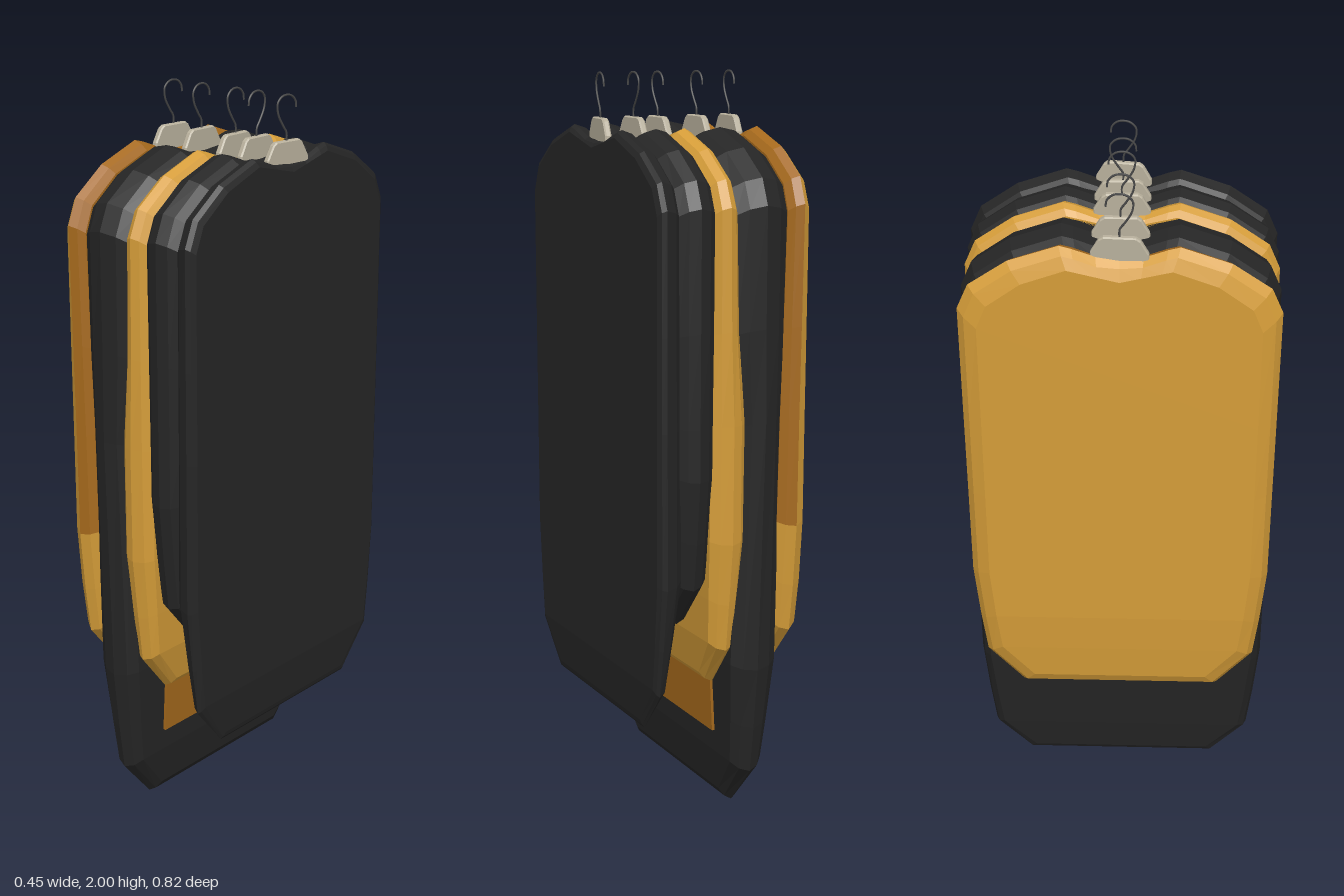
import * as THREE from 'three';

const mat = (name, color) => Object.assign(new THREE.MeshStandardMaterial({ color }), { name });

// half thickness limits of a garment at height y, rows are [y, left x, right x]
function limits(rows, y) {
  if (y >= rows[0][0]) return rows[0].slice(1);
  for (let i = 1; i < rows.length; i++) {
    const a = rows[i - 1], b = rows[i];
    if (y >= b[0]) {
      const k = (y - b[0]) / (a[0] - b[0]);
      return [b[1] + (a[1] - b[1]) * k, b[2] + (a[2] - b[2]) * k];
    }
  }
  return rows[rows.length - 1].slice(1);
}

// faceted garment: one outline in z/y, repeated in rings across x with varying inset
function garment(name, o, materials) {
  const b = o.bottom;
  const half = [[0.28, b], [0.38, b + 0.12], [0.395, b + 0.25], [0.41, b + 0.42], [0.41, 1.1], [0.41, 1.35],
    [0.41, 1.67], [0.38, 1.74], [0.28, 1.81], [0.15, 1.855], [0.12, 1.847], [0.06, 1.825], [0, 1.82]];
  const n = half.length, k = 8, size = 2 * n - 1;
  const mirror = i => 2 * n - 2 - i;
  const loop = [...half, ...half.slice(0, -1).reverse().map(([z, y]) => [-z, y])];
  const p = o.ridge, mid = (1.855 + b) / 2, tall = (1.855 - b) / 2;
  const rings = [[0, o.inset[0]], [p * 0.4, o.inset[0] * 0.35], [p, 0],
    [p + (1 - p) * 0.6, o.inset[1] * 0.35], [1, o.inset[1]]].map(([f, d]) =>
    loop.map(([z, y]) => {
      const [l, r] = limits(o.rows, y);
      return [l + (r - l) * f, mid + (y - mid) * (1 - d / tall), z * (1 - d / 0.41)];
    }));

  const sets = [[], []];
  const tri = (s, a, c, d) => sets[s].push(...a, ...c, ...d);
  // rim bands
  for (let j = 0; j < 4; j++) for (let i = 0; i < size; i++) {
    const A = rings[j], B = rings[j + 1], m = (i + 1) % size;
    const s = o.shaded && j > 1 && A[i][1] + A[m][1] > 1.5 ? 1 : 0;
    tri(s, A[i], B[i], B[m]);
    tri(s, A[i], B[m], A[m]);
  }
  // broad sides
  for (const [R, flip] of [[rings[0], false], [rings[4], true]]) {
    const s = o.shaded && flip ? 1 : 0;
    const face = (a, c, d) => flip ? tri(s, R[a], R[d], R[c]) : tri(s, R[a], R[c], R[d]);
    for (let i = 0; i < k; i++) {
      face(i, i + 1, mirror(i + 1));
      face(i, mirror(i + 1), mirror(i));
    }
    for (let i = k; i < n - 2; i++) {
      face(i, i + 1, n - 1);
      face(mirror(i), n - 1, mirror(i + 1));
    }
    face(k, n - 1, mirror(k));
  }
  const geo = new THREE.BufferGeometry();
  geo.setAttribute('position', new THREE.Float32BufferAttribute([...sets[0], ...sets[1]], 3));
  geo.addGroup(0, sets[0].length / 3, 0);
  if (sets[1].length) geo.addGroup(sets[0].length / 3, sets[1].length / 3, 1);
  geo.computeVertexNormals();
  const mesh = new THREE.Mesh(geo, materials);
  mesh.name = name;
  return mesh;
}

// hanger: small neck plate with a bent wire hook
function hanger(x, yaw, flip, plateMat, wireMat) {
  const g = new THREE.Group();
  g.name = 'hanger';
  const s = new THREE.Shape([[-0.075, 1.79], [0.075, 1.79], [0.07, 1.835], [0.05, 1.87], [0.04, 1.877],
    [-0.04, 1.877], [-0.05, 1.87], [-0.07, 1.835]].map(q => new THREE.Vector2(...q)));
  const geo = new THREE.ExtrudeGeometry(s, { depth: 0.01, bevelThickness: 0.004, bevelSize: 0.003, bevelSegments: 1 });
  geo.translate(0, 0, -0.005);
  geo.rotateY(Math.PI / 2);
  const plate = new THREE.Mesh(geo, plateMat);
  plate.name = 'hangerNeck';
  const path = new THREE.CatmullRomCurve3([[0, 1.87], [0, 1.9], [0.012, 1.918], [0.03, 1.95], [0.032, 1.978],
    [0.018, 1.993], [0, 1.997], [-0.018, 1.993], [-0.032, 1.978], [-0.034, 1.962]]
    .map(([z, y]) => new THREE.Vector3(0, y, z)));
  const hook = new THREE.Mesh(new THREE.TubeGeometry(path, 28, 0.0028, 6), wireMat);
  hook.name = 'hangerHook';
  g.add(plate, hook);
  g.position.x = x;
  g.rotation.y = yaw + (flip ? Math.PI : 0);
  return g;
}

export function createModel() {
  const model = new THREE.Group();
  model.name = 'hangingGarments';
  const black = mat('black cloth', 0x252525), gold = mat('gold cloth', 0xd49c38);
  const amber = mat('amber cloth', 0xa5691c), bone = mat('hanger bone', 0xb8b09c), wire = mat('hook wire', 0x484848);

  model.add(
    garment('goldGarmentOuter', {
      bottom: 0.39, ridge: 0.5, inset: [0.05, 0.025], shaded: true,
      rows: [[1.8, -0.23, -0.16], [0.9, -0.23, -0.135], [0.6, -0.23, -0.135], [0.39, -0.215, -0.14]]
    }, [gold, amber]),
    garment('longBlackGarment', {
      bottom: 0, ridge: 0.5, inset: [0.03, 0.03],
      rows: [[1.8, -0.16, -0.005], [1.35, -0.155, -0.01], [1.1, -0.145, -0.025], [0.42, -0.135, 0],
        [0.12, -0.11, -0.015], [0, -0.09, -0.03]]
    }, [black]),
    garment('goldGarmentInner', {
      bottom: 0.36, ridge: 0.45, inset: [0.025, 0.025],
      rows: [[1.8, -0.005, 0.06], [1.35, -0.015, 0.06], [1.1, -0.035, 0.065], [0.78, -0.035, 0.068],
        [0.5, -0.02, 0.06], [0.36, -0.02, 0.035]]
    }, [gold]),
    garment('shortBlackGarment', {
      bottom: 0.54, ridge: 0.5, inset: [0.025, 0.025],
      rows: [[1.8, 0.055, 0.16], [0.96, 0.06, 0.16], [0.54, 0.07, 0.155]]
    }, [black]),
    garment('blackGarmentOuter', {
      bottom: 0.26, ridge: 0.72, inset: [0.03, 0.02],
      rows: [[1.8, 0.155, 0.225], [0.68, 0.15, 0.225], [0.38, 0.18, 0.225], [0.26, 0.19, 0.217]]
    }, [black])
  );

  // amber hem showing against the long garment
  const hem = new THREE.Mesh(new THREE.BoxGeometry(0.009, 0.17, 0.54), amber);
  hem.name = 'amberHem';
  hem.position.set(-0.004, 0.295, 0);
  hem.rotation.z = -0.05;
  model.add(hem);

  for (const [x, yaw, flip] of [[-0.19, -0.06, false], [-0.09, 0, false], [0.028, 0, false], [0.1, 0, true], [0.198, -0.13, false]])
    model.add(hanger(x, yaw, flip, bone, wire));
  return model;
}
